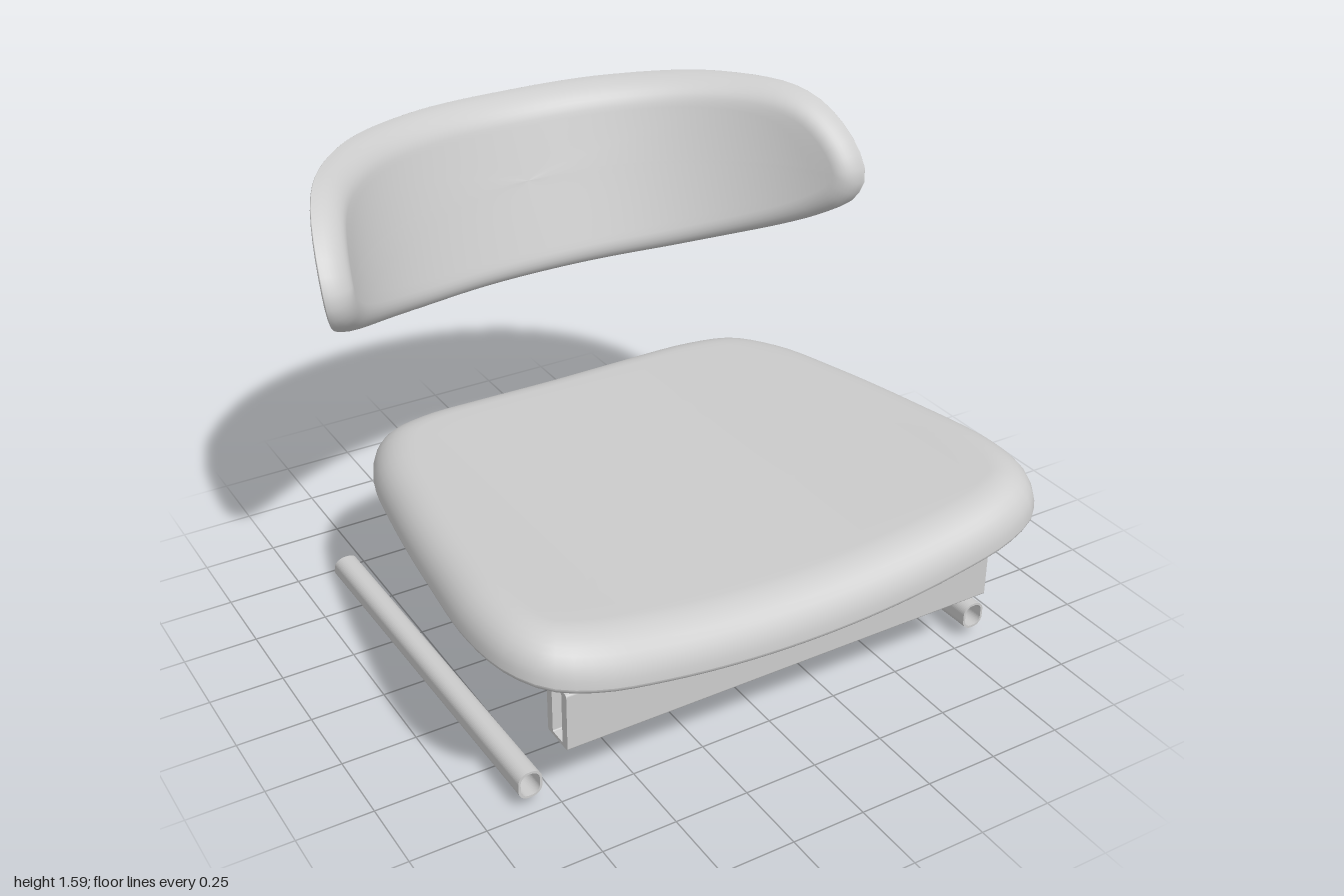
import * as THREE from 'three';

const grey = new THREE.MeshStandardMaterial({ color: 0xcccccc, side: THREE.DoubleSide });
grey.name = 'light grey';

// Closed, mirrored outline from the points of its right half (bottom to top)
function mirroredOutline(half) {
  const other = half.slice(1, -1).reverse().map(([u, v]) => [-u, v]);
  const pts = [...half, ...other].map(([u, v]) => new THREE.Vector3(u, v, 0));
  return new THREE.CatmullRomCurve3(pts, true, 'centripetal');
}

// One face of a cushion: rounded rim of the given width, then flat to the centre
function padFace(curve, rim, depth, centre, warp) {
  const N = 112, ROUND = 9, FLAT = 12, pos = [], idx = [];
  const edge = [];
  for (let i = 0; i < N; i++) {
    edge.push({ p: curve.getPointAt(i / N), t: curve.getTangentAt(i / N) });
  }
  for (let r = 0; r <= ROUND + FLAT; r++) {
    const a = Math.min(r / ROUND, 1) * Math.PI / 2;
    const inset = rim * (1 - Math.cos(a)), h = depth * Math.sin(a);
    const k = Math.max(0, (r - ROUND) / FLAT);
    for (const { p, t } of edge) {
      const u = p.x - t.y * inset, v = p.y + t.x * inset;
      pos.push(...warp(u * (1 - k), v + (centre - v) * k, h));
    }
  }
  for (let r = 0; r < ROUND + FLAT; r++) {
    for (let i = 0; i < N; i++) {
      const j = (i + 1) % N, a = r * N + i, b = r * N + j, c = a + N, d = b + N;
      if (depth > 0) idx.push(a, b, d, a, d, c);
      else idx.push(a, d, b, a, c, d);
    }
  }
  const g = new THREE.BufferGeometry();
  g.setAttribute('position', new THREE.Float32BufferAttribute(pos, 3));
  g.setIndex(idx);
  g.computeVertexNormals();
  return g;
}

function roundedRect(path, w, h, r) {
  const x = w / 2, y = h / 2;
  path.moveTo(x, -y + r);
  path.lineTo(x, y - r);
  path.absarc(x - r, y - r, r, 0, Math.PI / 2);
  path.lineTo(-x + r, y);
  path.absarc(-x + r, y - r, r, Math.PI / 2, Math.PI);
  path.lineTo(-x, -y + r);
  path.absarc(-x + r, -y + r, r, Math.PI, Math.PI * 1.5);
  path.lineTo(x - r, -y);
  path.absarc(x - r, -y + r, r, Math.PI * 1.5, Math.PI * 2);
  return path;
}

// Hollow tube along z, centred on the origin
function hollowTube(w, h, length, r, wallX, wallY) {
  const shape = roundedRect(new THREE.Shape(), w, h, r);
  const inner = Math.max(0.004, r - Math.max(wallX, wallY));
  shape.holes.push(roundedRect(new THREE.Path(), w - 2 * wallX, h - 2 * wallY, inner));
  return new THREE.ExtrudeGeometry(shape, { depth: length, bevelEnabled: false, curveSegments: 6 })
    .translate(0, 0, -length / 2);
}

export function createModel() {
  const model = new THREE.Group();
  model.name = 'chair';
  const add = (name, geometry, x = 0, y = 0, z = 0, parent = model) => {
    const m = new THREE.Mesh(geometry, grey);
    m.name = name;
    m.position.set(x, y, z);
    parent.add(m);
    return m;
  };

  // Seat: saddle-shaped cushion, u = x and v = -z
  const seat = new THREE.Group();
  seat.name = 'seat';
  model.add(seat);
  const seatOutline = mirroredOutline([
    [0, -0.997], [0.5, -0.988], [0.74, -0.97], [0.87, -0.92], [0.945, -0.81], [0.972, -0.62],
    [0.94, -0.28], [0.885, 0.1], [0.82, 0.4], [0.72, 0.59], [0.55, 0.69], [0.3, 0.74], [0, 0.755]]);
  const saddle = (u, v, h) => [u, 0.5 + 0.03 * (-v - 1) + 0.13 * u * u + h, -v];
  add('seatCushion', padFace(seatOutline, 0.15, 0.145, -0.12, saddle), 0, 0, 0, seat);
  add('seatUnderside', padFace(seatOutline, 0.06, -0.03, -0.12, saddle), 0, 0, 0, seat);

  // Backrest: pad wrapped round a leaning arc, u = arc length and v = y
  const backrest = new THREE.Group();
  backrest.name = 'backrest';
  model.add(backrest);
  const backOutline = mirroredOutline([
    [0, 0.965], [0.4, 0.985], [0.635, 1.02], [0.92, 1.09], [1.11, 1.16], [1.25, 1.24], [1.305, 1.33],
    [1.28, 1.43], [1.19, 1.53], [1.08, 1.58], [0.8, 1.6], [0.4, 1.585], [0, 1.572]]);
  const R = 1.06;
  const wrap = (u, v, h) => {
    const a = u / R, r = R - h;
    return [r * Math.sin(a), v, 0.145 - r * Math.cos(a) - 0.33 * (v - 1.32)];
  };
  add('backrestCushion', padFace(backOutline, 0.08, 0.09, 1.3, wrap), 0, 0, 0, backrest);
  add('backrestShell', padFace(backOutline, 0.02, -0.006, 1.3, wrap), 0, 0, 0, backrest);

  // Front rail: hollow tube across the seat
  add('frontRail', hollowTube(0.12, 0.2, 1.545, 0.008, 0.03, 0.012).rotateY(Math.PI / 2), 0, 0.375, 0.78);

  // Side tubes: oval, sloping down to a slanted rear end
  for (const side of [-1, 1]) {
    const g = hollowTube(0.08, 0.095, 1.42, 0.035, 0.008, 0.008);
    const p = g.attributes.position;
    for (let i = 0; i < p.count; i++) {
      const y = p.getY(i), z = p.getZ(i);
      if (z < 0) p.setZ(i, z + 0.4 * y);
      p.setY(i, y + 0.028 * z);
    }
    g.computeVertexNormals();
    add(side > 0 ? 'leftSideTube' : 'rightSideTube', g, side * 0.84, 0.075, 0.015);
  }

  // Seat support bar with end bracket, and the short bracket opposite
  const bar = add('seatSupportBar', new THREE.BoxGeometry(0.05, 0.05, 1.34), 0.3, 0.418, 0.05);
  bar.rotation.x = -0.03;
  add('rearBracket', new THREE.BoxGeometry(0.07, 0.045, 0.09), 0.3, 0.4, -0.59);
  for (const x of [-0.33, 0.3]) {
    add('frontBracket', new THREE.BoxGeometry(0.09, 0.05, 0.1), x, 0.437, 0.685);
  }
  return model;
}
